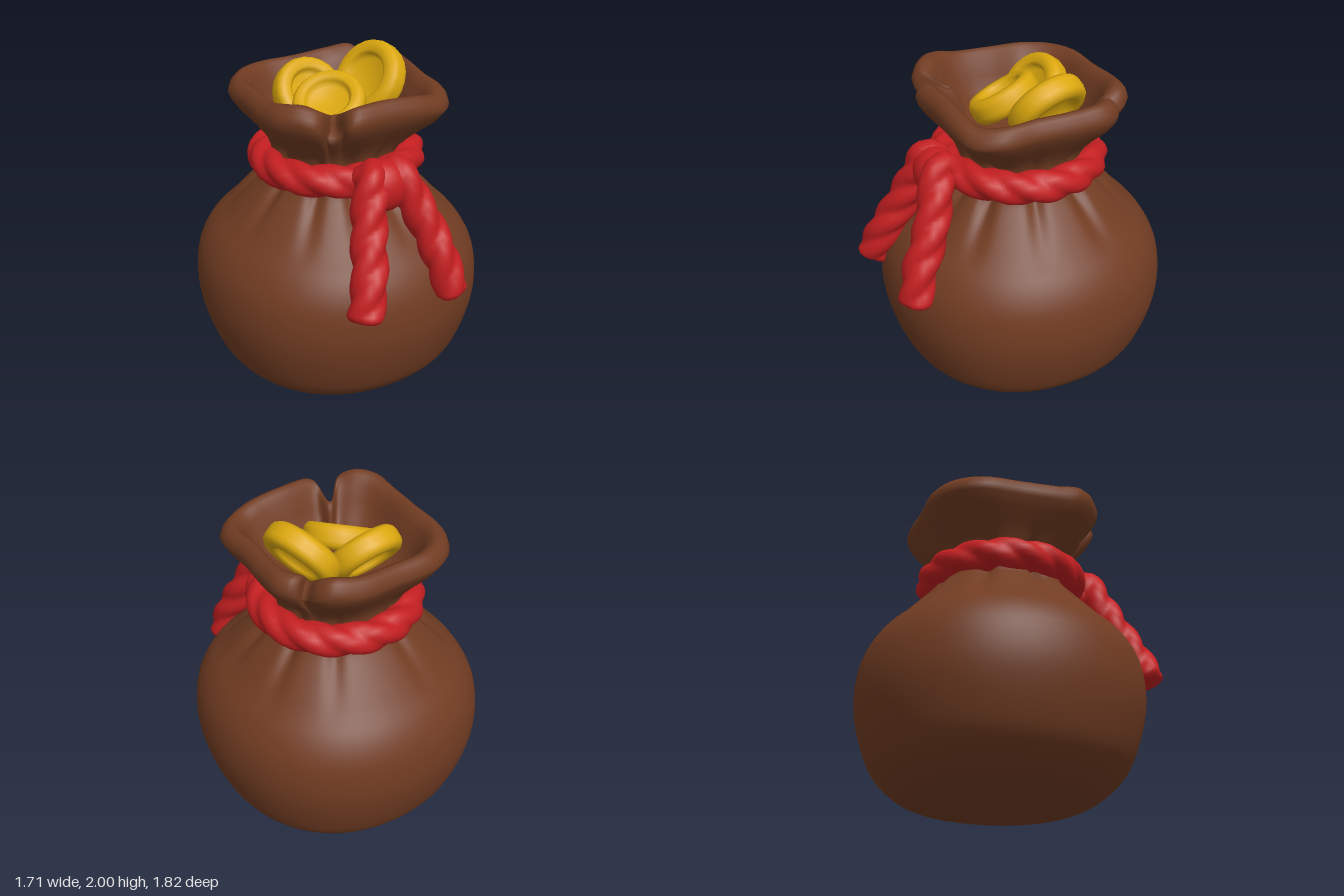
import * as THREE from 'three';
import { mergeVertices } from 'three/addons/utils/BufferGeometryUtils.js';

const mat = (name, color) => {
  const m = new THREE.MeshStandardMaterial({ color });
  m.name = name;
  return m;
};
const V = (x, y, z) => new THREE.Vector3(x, y, z);
const CENTER_Z = -0.055;

// Weld seams, then smooth the normals
function smooth(geo) {
  geo.deleteAttribute('uv');
  geo.deleteAttribute('normal');
  const g = mergeVertices(geo, 1e-4);
  g.computeVertexNormals();
  return g;
}

// Sack: round body lofted into a squarish, folded mouth and back down inside
function sackGeometry() {
  // Mouth outline [x, z, rim height], with two sharp folds
  const mouth = [
    [-0.2, 0.49, 1.84], [-0.17, 0.52, 1.86], [0.05, 0.51, 1.87], [0.3, 0.49, 1.85], [0.45, 0.44, 1.82],
    [0.54, 0.31, 1.83], [0.545, 0.1, 1.84], [0.57, -0.15, 1.85], [0.565, -0.34, 1.86], [0.5, -0.42, 1.85],
    [0.42, -0.38, 1.77], [0.41, -0.49, 1.83], [0.36, -0.56, 1.86], [0.2, -0.61, 1.84], [-0.05, -0.6, 1.83],
    [-0.3, -0.59, 1.83], [-0.45, -0.51, 1.83], [-0.55, -0.35, 1.83], [-0.56, -0.1, 1.84], [-0.57, 0.15, 1.85],
    [-0.55, 0.3, 1.88], [-0.46, 0.41, 1.89], [-0.36, 0.46, 1.85], [-0.21, 0.33, 1.77],
  ];
  const curve = new THREE.CatmullRomCurve3(mouth.map(([x, z, y]) => V(x, y, z)), true);
  curve.arcLengthDivisions = 800;
  const N = 180, HALF = 8;
  const rim = curve.getSpacedPoints(N).slice(0, N);
  // Direction of each column, averaged so the folds do not cross on the body
  const angles = rim.map((_, j) => {
    let x = 0, z = 0;
    for (let k = -HALF; k <= HALF; k++) {
      const p = rim[(j + k + N) % N];
      const d = Math.hypot(p.x, p.z - CENTER_Z);
      x += p.x / d;
      z += (p.z - CENTER_Z) / d;
    }
    return Math.atan2(x, z);
  });

  // Body profile [radius, height]
  const body = [
    [0.5, 0], [0.6, 0.035], [0.71, 0.13], [0.775, 0.24], [0.835, 0.43], [0.855, 0.6], [0.832, 0.78],
    [0.76, 0.92], [0.665, 1.02], [0.585, 1.11], [0.505, 1.2], [0.43, 1.29], [0.385, 1.4],
  ].map(([r, y]) => new THREE.Vector2(r, y));
  const bodyRows = new THREE.SplineCurve(body).getPoints(36).map((p) => [p.y, p.x, 1, 0]);
  // Rows: [height, round radius, mouth scale, blend towards the mouth outline]
  const outer = [
    [0, 0, 1, 0], [0, 0.3, 1, 0], ...bodyRows,
    [1.46, 0.38, 0.7, 0.1], [1.52, 0.39, 0.74, 0.35], [1.6, 0.43, 0.82, 0.7], [1.68, 0.5, 0.92, 0.92],
    [1.74, 0.5, 0.98, 1],
  ];
  const lip = [
    [1.785, 0.5, 1, 1], [1.825, 0.5, 0.98, 1], [1.855, 0.5, 0.94, 1],
    [1.868, 0.5, 0.89, 1], [1.855, 0.5, 0.83, 1], [1.81, 0.48, 0.775, 1], [1.73, 0.44, 0.715, 1],
    [1.64, 0.38, 0.65, 0.8], [1.57, 0.32, 0.56, 0.4], [1.54, 0.24, 0.4, 0], [1.54, 0, 0, 0],
  ];
  const rows = [...outer, ...lip];
  // Gathers around the neck [degrees from the front, depth]
  const creases = [
    [-160, 0.04], [-118, 0.06], [-78, 0.07], [-42, 0.06], [-14, 0.06], [14, 0.05], [40, 0.08],
    [76, 0.06], [112, 0.07], [146, 0.04],
  ];
  const crease = (a, y) => {
    const fade = Math.max(0, 1 - Math.abs(y - 1.36) / (y < 1.36 ? 0.38 : 0.32));
    let sum = 0;
    for (const [deg, depth] of creases) {
      const c = THREE.MathUtils.degToRad(deg);
      const d = Math.atan2(Math.sin(a - c), Math.cos(a - c));
      sum += depth * Math.exp(-((d / 0.09) ** 2));
    }
    return fade * sum;
  };

  const pos = [], idx = [];
  rows.forEach(([y, r, s, m], i) => {
    const isOuter = i < outer.length;
    rim.forEach((p, j) => {
      const a = angles[j];
      // Slightly squared body
      const roundR = r * (1 + 0.012 * (1 - Math.cos(4 * a))) - (isOuter && r > 0 ? crease(a, y) : 0);
      // The folds stay closed below the lip
      const dist = Math.hypot(p.x, p.z - CENTER_Z);
      const mouthS = s * (isOuter ? Math.max(1, 0.54 / dist) : 1);
      const lift = m * (p.y - 1.86) * (isOuter ? 0.5 : 1);
      pos.push(
        THREE.MathUtils.lerp(Math.sin(a) * roundR, p.x * mouthS, m),
        y + lift,
        CENTER_Z + THREE.MathUtils.lerp(Math.cos(a) * roundR, (p.z - CENTER_Z) * mouthS, m),
      );
    });
    if (i === rows.length - 1) return;
    for (let j = 0; j < N; j++) {
      const a = i * N + j, b = i * N + (j + 1) % N;
      idx.push(a, b, b + N, a, b + N, a + N);
    }
  });
  const geo = new THREE.BufferGeometry();
  geo.setAttribute('position', new THREE.Float32BufferAttribute(pos, 3));
  geo.setIndex(idx);
  geo.computeVertexNormals();
  return geo;
}

// Twisted three-strand rope along a curve, with blunt ends when open
function ropeGeometry(curve, radius, segs, twists, closed) {
  const sides = 18;
  const geo = new THREE.TubeGeometry(curve, segs, radius, sides, closed);
  const p = geo.attributes.position, n = geo.attributes.normal;
  for (let i = 0; i <= segs; i++) {
    const end = Math.min(i, segs - i);
    const taper = closed ? 1 : [0, 0.75, 0.93][end] ?? 1;
    for (let j = 0; j <= sides; j++) {
      const k = i * (sides + 1) + j;
      const phase = 1.5 * (j / sides) * Math.PI * 2 + (i / segs) * twists * Math.PI;
      const push = radius * (taper * (0.8 + 0.23 * Math.abs(Math.cos(phase))) - 1);
      p.setXYZ(k, p.getX(k) + n.getX(k) * push, p.getY(k) + n.getY(k) * push, p.getZ(k) + n.getZ(k) * push);
    }
  }
  return smooth(geo);
}

// Coin with a raised rim and a sunken face on both sides
function coinGeometry(R) {
  const half = [[0, 0.012], [0.54, 0.012], [0.6, 0.055], [0.68, 0.072], [0.87, 0.072], [0.97, 0.05], [1, 0.025]];
  const top = half.map(([r, y]) => new THREE.Vector2(r * R, y));
  const bottom = half.map(([r, y]) => new THREE.Vector2(r * R, -y)).reverse();
  // Lathe profiles run upwards on the outside
  return new THREE.LatheGeometry([...top, ...bottom].reverse(), 24);
}

export function createModel() {
  const brown = mat('brown cloth', 0x713c22);
  const red = mat('red rope', 0xc31e20);
  const gold = mat('gold', 0xdca80e);
  const model = new THREE.Group();
  model.name = 'coinSack';
  const add = (name, geo, material, parent = model) => {
    const mesh = new THREE.Mesh(geo, material);
    mesh.name = name;
    parent.add(mesh);
    return mesh;
  };

  add('sack', sackGeometry(), brown);

  // Rope around the neck, with knot and two hanging ends
  const tie = new THREE.Group();
  tie.name = 'tie';
  model.add(tie);
  const loop = [];
  for (let i = 0; i < 16; i++) {
    const a = (i / 16) * Math.PI * 2;
    loop.push(V(Math.sin(a) * 0.432, 1.385 + 0.012 * Math.cos(a), -0.045 + Math.cos(a) * 0.435));
  }
  add('neckRope', ropeGeometry(new THREE.CatmullRomCurve3(loop, true), 0.097, 144, 13, true), red, tie);
  const ends = {
    rightRopeEnd: [[-0.04, 1.38, 0.4], [-0.055, 1.455, 0.495], [-0.11, 1.3, 0.57], [-0.155, 1.12, 0.655], [-0.2, 0.95, 0.745], [-0.27, 0.735, 0.82]],
    leftRopeEnd: [[0.08, 1.38, 0.4], [0.095, 1.455, 0.495], [0.175, 1.3, 0.56], [0.245, 1.12, 0.63], [0.29, 0.95, 0.71], [0.335, 0.72, 0.77]],
  };
  for (const [name, pts] of Object.entries(ends)) {
    const path = new THREE.CatmullRomCurve3(pts.map((p) => V(...p)));
    add(name, ropeGeometry(path, 0.106, 64, 4.5, false), red, tie);
  }
  const knot = add('knot', new THREE.SphereGeometry(1, 24, 16), red, tie);
  knot.scale.set(0.165, 0.155, 0.13);
  knot.position.set(0.02, 1.39, 0.49);

  // Coins: [position, facing direction, radius]
  const coins = [
    [[-0.07, 1.72, 0.01], [-0.38, 0.84, 0.36], 0.215],
    [[-0.1, 1.715, -0.2], [0.08, 0.62, 0.78], 0.22],
    [[0.255, 1.78, -0.1], [-0.8, 0.55, 0.2], 0.235],
  ];
  const pile = new THREE.Group();
  pile.name = 'coins';
  model.add(pile);
  coins.forEach(([at, facing, R], i) => {
    const coin = add('coin' + (i + 1), coinGeometry(R), gold, pile);
    coin.position.set(...at);
    coin.quaternion.setFromUnitVectors(V(0, 1, 0), V(...facing).normalize());
  });
  return model;
}
